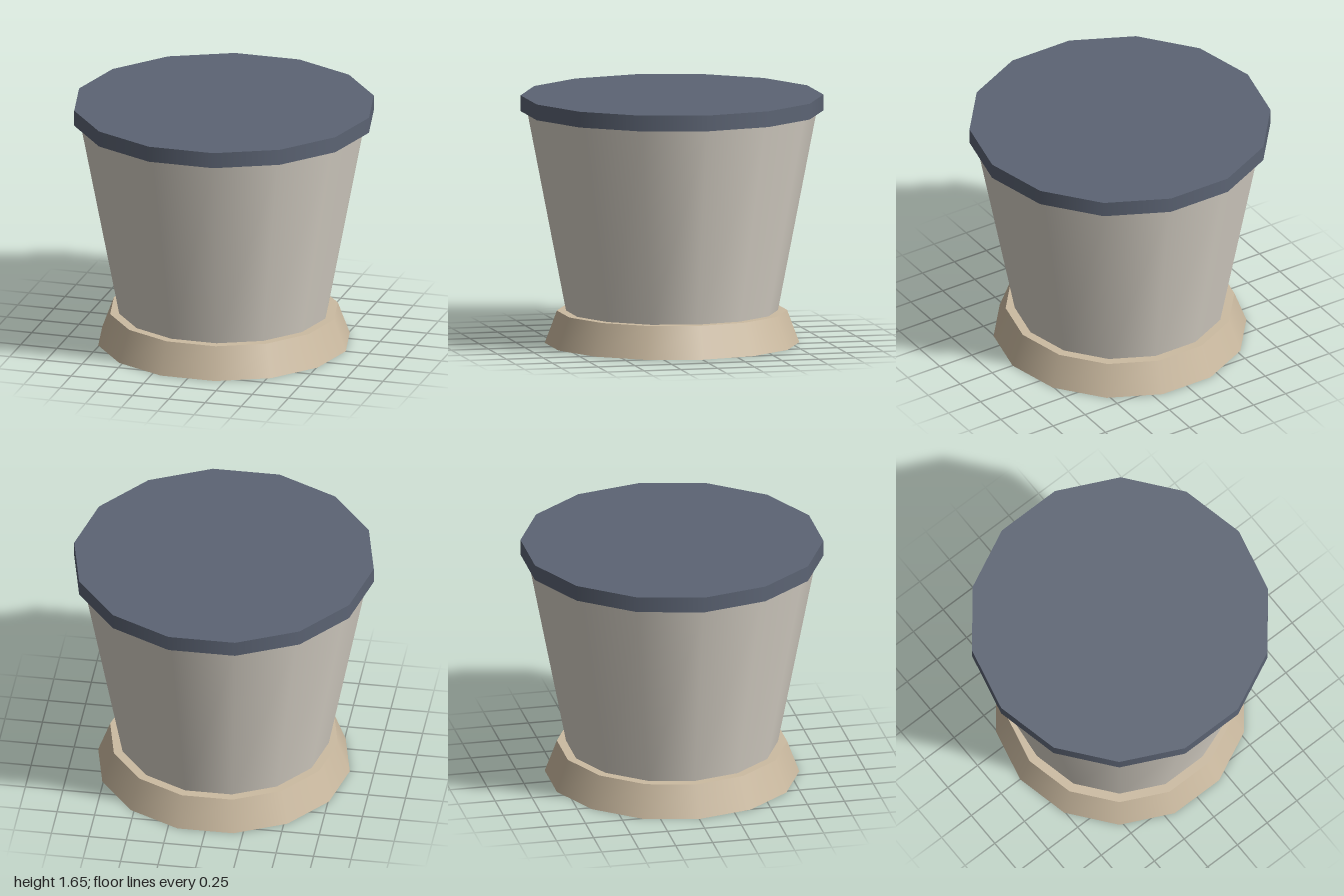
import * as THREE from 'three';

const SIDES = 14;

export function createModel() {
  const group = new THREE.Group();
  const material = (name, color) => {
    const m = new THREE.MeshStandardMaterial({ color });
    m.name = name;
    return m;
  };
  const slate = material('slate', 0x5c6474);
  const offWhite = material('offWhite', 0xdbd5ca);
  const tan = material('tan', 0xccbba1);

  // Smooth-sided tapered drum with a corner on the x axis
  function drum(name, rTop, rBottom, y0, y1, mat) {
    const geo = new THREE.CylinderGeometry(rTop, rBottom, y1 - y0, SIDES, 1, false, Math.PI / 2);
    geo.translate(0, (y0 + y1) / 2, 0);
    const mesh = new THREE.Mesh(geo, mat);
    mesh.name = name;
    group.add(mesh);
  }

  // Flared foot, tapering bucket and flat lid
  drum('base', 0.76, 0.84, 0, 0.215, tan);
  drum('bucket', 0.957, 0.693, 0.18, 1.55, offWhite);
  drum('lid', 1, 1, 1.545, 1.65, slate);

  return group;
}
